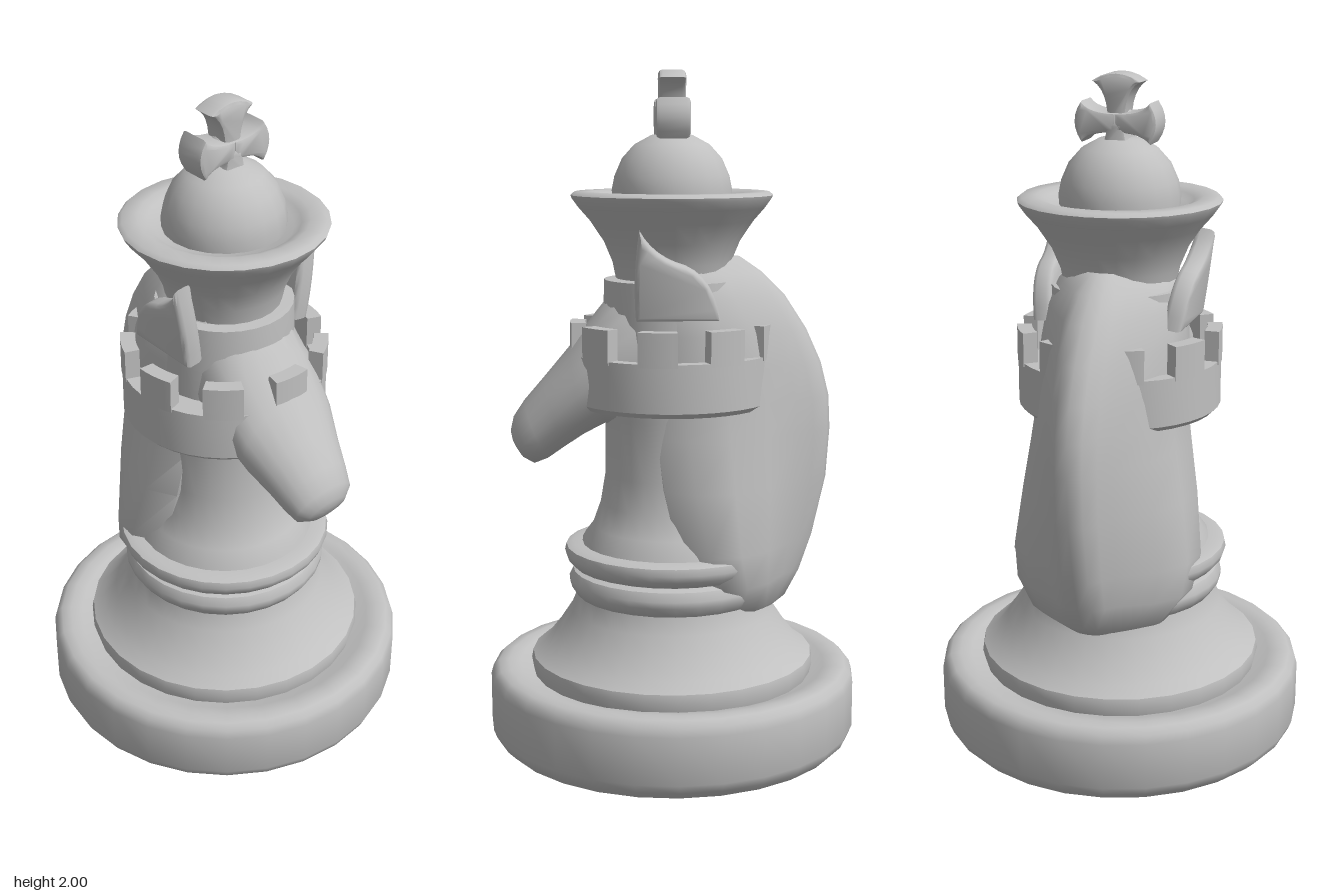
import * as THREE from 'three';
import { toCreasedNormals } from 'three/addons/utils/BufferGeometryUtils.js';

const stone = new THREE.MeshStandardMaterial({ color: 0xc0c0c0 });
stone.name = 'stoneGrey';

export function createModel() {
  const model = new THREE.Group();
  model.name = 'combinedChessPiece';

  const add = (name, geometry, crease = 0.7) => {
    const mesh = new THREE.Mesh(toCreasedNormals(geometry, crease), stone);
    mesh.name = name;
    model.add(mesh);
    return mesh;
  };
  const lathe = (name, profile, sides) =>
    add(name, new THREE.LatheGeometry(profile.map(([r, y]) => new THREE.Vector2(r, y)), sides));

  // Closed skin through a row of equal-length rings, capped at both ends
  const loft = (rings) => {
    const n = rings[0].length, pos = rings.flat(2), index = [];
    rings.slice(1).forEach((_, i) => {
      for (let j = 0; j < n; j++) {
        const k = (j + 1) % n, a = i * n + j, b = i * n + k;
        index.push(a, b, b + n, a, b + n, a + n);
      }
    });
    [0, rings.length - 1].forEach((r) => {
      const centre = pos.length / 3;
      for (let c = 0; c < 3; c++) pos.push(rings[r].reduce((s, p) => s + p[c], 0) / n);
      for (let j = 0; j < n; j++) {
        const a = r * n + j, b = r * n + (j + 1) % n;
        index.push(centre, ...(r ? [a, b] : [b, a]));
      }
    });
    const g = new THREE.BufferGeometry();
    g.setAttribute('position', new THREE.Float32BufferAttribute(pos, 3));
    g.setIndex(index);
    return g;
  };

  // Round foot and flared pedestal
  lathe('base', [[0, 0], [0.52, 0], [0.545, 0.025], [0.555, 0.05], [0.555, 0.19], [0.548, 0.215],
    [0.53, 0.232], [0.5, 0.235], [0.465, 0.23], [0.43, 0.21], [0, 0.21]], 28);
  lathe('pedestal', [[0.42, 0.2], [0.43, 0.24], [0.425, 0.265], [0.39, 0.29], [0.35, 0.34],
    [0.31, 0.4], [0.285, 0.46], [0.27, 0.62], [0.24, 0.66], [0.215, 0.73], [0.2, 0.82],
    [0.2, 1.0], [0.21, 1.1], [0.2, 1.4], [0, 1.42]], 28);

  // Two collar bands
  lathe('lowerCollar', [[0.26, 0.44], [0.29, 0.45], [0.31, 0.48], [0.312, 0.5], [0.3, 0.525], [0.27, 0.535]], 28);
  lathe('upperCollar', [[0.27, 0.53], [0.3, 0.54], [0.318, 0.56], [0.325, 0.58], [0.32, 0.6], [0.3, 0.607], [0.25, 0.607]], 28);

  // Mane and back: rows of [height, ridge z, half width, z of the widest point]
  const backRows = [[0.4, -0.3, 0.12, -0.22], [0.44, -0.345, 0.21, -0.19], [0.52, -0.39, 0.27, -0.14],
    [0.62, -0.425, 0.285, -0.1], [0.8, -0.465, 0.26, -0.06], [0.95, -0.475, 0.235, -0.04],
    [1.05, -0.47, 0.22, -0.03], [1.15, -0.445, 0.215, -0.02], [1.25, -0.4, 0.21, -0.02],
    [1.35, -0.335, 0.2, 0], [1.42, -0.265, 0.17, 0], [1.465, -0.2, 0.1, -0.05]];
  add('maneAndBack', loft(backRows.map(([y, zb, w, zw]) => {
    const d = zw - zb, s = Math.min(1, w / 0.2);
    const half = [[w * 0.8, zw + 0.09], [w, zw], [w * 0.95, zb + d * 0.72], [w * 0.72, zb + d * 0.46],
      [0.1 * s, zb + d * 0.25], [0.07 * s, zb + d * 0.13], [0.04 * s, zb + d * 0.03]];
    return [[0, y, zw + 0.12], ...half.map(([x, z]) => [x, y, z]), [0, y, zb],
      ...half.reverse().map(([x, z]) => [-x, y, z])];
  })), 0.9);

  // Horse head: rows of [top z, top y, chin z, chin y, half width]
  const headRows = [[-0.02, 1.47, -0.05, 1.0, 0.16], [0.13, 1.42, 0.08, 0.96, 0.18], [0.22, 1.31, 0.2, 0.97, 0.178],
    [0.305, 1.2, 0.26, 0.94, 0.165], [0.38, 1.11, 0.32, 0.9, 0.135], [0.44, 1.04, 0.37, 0.865, 0.115],
    [0.473, 0.99, 0.41, 0.85, 0.1], [0.482, 0.95, 0.44, 0.865, 0.065], [0.478, 0.925, 0.46, 0.89, 0.025]];
  add('horseHead', loft(headRows.map(([tz, ty, bz, by, w]) =>
    Array.from({ length: 20 }, (_, i) => {
      const a = (i / 20) * Math.PI * 2, c = Math.cos(a) / 2;
      return [-Math.sin(a) * w, (ty + by) / 2 + c * (ty - by), (tz + bz) / 2 + c * (tz - bz)];
    }))), 1.1);

  // Pointed ears, outlined in the z-y plane
  const ear = new THREE.Shape();
  ear.moveTo(0.1, 1.555);
  ear.quadraticCurveTo(0.06, 1.48, -0.03, 1.455);
  ear.quadraticCurveTo(-0.11, 1.42, -0.13, 1.3);
  ear.lineTo(0.11, 1.3);
  ear.quadraticCurveTo(0.12, 1.42, 0.1, 1.555);
  for (const side of [1, -1]) {
    const g = new THREE.ExtrudeGeometry(ear, { depth: 0.03, curveSegments: 6, bevelThickness: 0.015, bevelSize: 0.012, bevelOffset: -0.012, bevelSegments: 2 });
    g.translate(0, -1.3, -0.015).rotateY(-Math.PI / 2).rotateZ(-side * 0.14).translate(side * 0.195, 1.3, 0);
    add(side > 0 ? 'leftEar' : 'rightEar', g, 0.9);
  }

  // Tower drum with nine merlons around its edge
  lathe('towerDrum', [[0.15, 1.03], [0.285, 1.03], [0.3, 1.045], [0.3, 1.185], [0.26, 1.185], [0.26, 1.17], [0.1, 1.17]], 36);
  const merlon = new THREE.Shape();
  const spread = 0.19;
  merlon.absarc(0, 0, 0.302, -spread, spread, false);
  merlon.absarc(0, 0, 0.258, spread, -spread, true);
  for (let i = 0; i < 9; i++) {
    const g = new THREE.ExtrudeGeometry(merlon, { depth: 0.1, bevelEnabled: false, curveSegments: 5 });
    g.rotateX(-Math.PI / 2).rotateY(-Math.PI / 2 + (i * Math.PI * 2) / 9).translate(0, 1.175, 0);
    add('merlon' + (i + 1), g);
  }

  // Flared crown and dome
  lathe('crown', [[0, 1.39], [0.165, 1.4], [0.175, 1.45], [0.2, 1.51], [0.24, 1.57], [0.275, 1.61],
    [0.293, 1.635], [0.297, 1.645], [0.285, 1.655], [0.24, 1.655], [0.215, 1.645], [0.195, 1.63], [0, 1.63]], 24);
  lathe('dome', [[0.175, 1.62], [0.176, 1.66], [0.168, 1.7], [0.146, 1.75], [0.11, 1.79], [0.06, 1.817], [0, 1.825]], 20);

  // Flared cross with rounded edges
  const arm = (angle, reach, half) => {
    const s = new THREE.Shape();
    s.moveTo(-0.025, 0);
    s.quadraticCurveTo(-0.025, reach * 0.65, -half, reach * 0.84);
    s.quadraticCurveTo(0, reach * 1.17, half, reach * 0.84);
    s.quadraticCurveTo(0.025, reach * 0.65, 0.025, 0);
    const depth = angle === 0 ? 0.055 : 0.076;
    const g = new THREE.ExtrudeGeometry(s, { depth, curveSegments: 6, bevelThickness: 0.012, bevelSize: 0.01, bevelOffset: -0.008, bevelSegments: 2 });
    return g.translate(0, 0, -depth / 2).rotateZ(angle).translate(0, 1.865, 0);
  };
  add('crossTopArm', arm(0, 0.135, 0.07));
  add('crossLeftArm', arm(-Math.PI / 2, 0.12, 0.055));
  add('crossRightArm', arm(Math.PI / 2, 0.12, 0.055));
  add('crossFoot', arm(Math.PI, 0.09, 0.05));
  add('crossCentre', new THREE.SphereGeometry(0.045, 16, 10).translate(0, 1.865, 0));

  return model;
}
